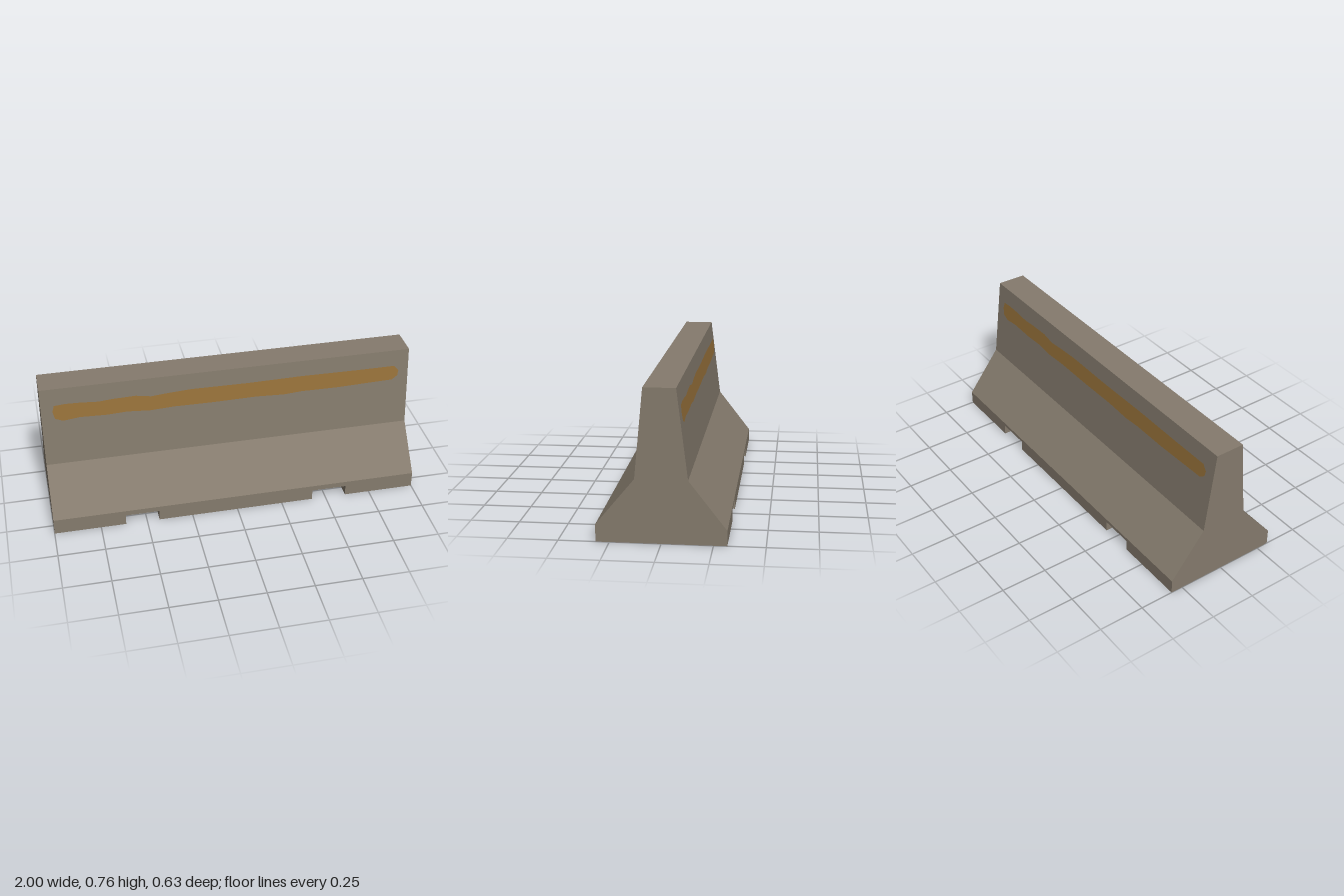
import * as THREE from 'three';

// Cross-section as [z, y], from the front foot over the top to the back foot
const profile = [
  [0.317, 0], [0.317, 0.087], [0.127, 0.317], [0.085, 0.76],
  [-0.073, 0.76], [-0.129, 0.317], [-0.316, 0.076], [-0.316, 0],
];
const notches = [[-0.615, -0.433], [0.423, 0.613]];
const notchTop = 0.058;

// Flat four-cornered faces, corners counter-clockwise from outside
function quads(list) {
  const pos = [];
  for (const [a, b, c, d] of list) pos.push(...a, ...b, ...c, ...a, ...c, ...d);
  const g = new THREE.BufferGeometry();
  g.setAttribute('position', new THREE.Float32BufferAttribute(pos, 3));
  g.computeVertexNormals();
  return g;
}

export function createModel() {
  const concrete = new THREE.MeshStandardMaterial({ color: 0x857b6d, side: THREE.DoubleSide });
  concrete.name = 'concrete';
  const paint = new THREE.MeshStandardMaterial({ color: 0x98723a, side: THREE.DoubleSide });
  paint.name = 'ochre paint';

  const model = new THREE.Group();
  model.name = 'concreteBarrier';
  const add = (name, geometry, material) => {
    const mesh = new THREE.Mesh(geometry, material);
    mesh.name = name;
    model.add(mesh);
    return mesh;
  };

  // Long slopes, upper walls and top (the underside stays open)
  const body = [];
  for (let i = 1; i < profile.length - 2; i++) {
    const [z0, y0] = profile[i], [z1, y1] = profile[i + 1];
    body.push([[-1, y0, z0], [1, y0, z0], [1, y1, z1], [-1, y1, z1]]);
  }
  add('body', quads(body), concrete);

  // Upright foot strips with two cut-outs each
  function footStrip(name, z, height) {
    const s = new THREE.Shape();
    s.moveTo(-1, 0);
    for (const [a, b] of notches) {
      s.lineTo(a, 0);
      s.lineTo(a, notchTop);
      s.lineTo(b, notchTop);
      s.lineTo(b, 0);
    }
    s.lineTo(1, 0);
    s.lineTo(1, height);
    s.lineTo(-1, height);
    const g = new THREE.ShapeGeometry(s);
    if (z < 0) { // turn the faces outward without moving the cut-outs
      const ix = g.index.array;
      for (let i = 0; i < ix.length; i += 3) [ix[i], ix[i + 1]] = [ix[i + 1], ix[i]];
      g.computeVertexNormals();
    }
    add(name, g, concrete).position.z = z;
  }
  footStrip('frontFoot', profile[0][0], profile[1][1]);
  footStrip('backFoot', profile[7][0], profile[6][1]);

  // End walls
  for (const side of [1, -1]) {
    const s = new THREE.Shape(profile.map(([z, y]) => new THREE.Vector2(-side * z, y)));
    const end = add(side > 0 ? 'leftEnd' : 'rightEnd', new THREE.ShapeGeometry(s), concrete);
    end.rotation.y = side * Math.PI / 2;
    end.position.x = side;
  }

  // Fork channels running through the foot
  const f = profile[0][0], k = profile[7][0], h = notchTop;
  for (const [a, b] of notches) {
    add('forkChannel', quads([
      [[a, h, k], [b, h, k], [b, h, f], [a, h, f]],
      [[a, 0, f], [a, 0, k], [a, h, k], [a, h, f]],
      [[b, 0, k], [b, 0, f], [b, h, f], [b, h, k]],
    ]), concrete);
  }

  // Uneven painted stripe, laid onto the leaning upper walls
  const upper = [
    [-0.93, 0.665], [-0.87, 0.67], [-0.8, 0.668], [-0.7, 0.661], [-0.62, 0.667], [-0.5, 0.67],
    [-0.42, 0.656], [-0.33, 0.664], [-0.2, 0.671], [0.1, 0.668], [0.4, 0.672], [0.7, 0.669],
    [0.92, 0.669], [0.945, 0.64],
  ];
  const lower = [
    [0.94, 0.61], [0.91, 0.588], [0.8, 0.585], [0.6, 0.579], [0.4, 0.581], [0.3, 0.574], [0.15, 0.581],
    [-0.1, 0.578], [-0.3, 0.58], [-0.43, 0.574], [-0.55, 0.583], [-0.66, 0.578], [-0.8, 0.583],
    [-0.89, 0.573], [-0.93, 0.59], [-0.94, 0.63],
  ];
  const outline = [...upper, ...lower].reverse().map(([x, y]) => new THREE.Vector2(x, y));
  function stripe(name, [zLow, yLow], [zHigh, yHigh], turn) {
    const g = new THREE.ShapeGeometry(new THREE.Shape(outline));
    const p = g.attributes.position;
    for (let i = 0; i < p.count; i++) {
      const t = (p.getY(i) - yLow) / (yHigh - yLow);
      p.setZ(i, Math.abs(zLow) + (Math.abs(zHigh) - Math.abs(zLow)) * t + 0.003);
    }
    g.computeVertexNormals();
    add(name, g, paint).rotation.y = turn;
  }
  stripe('frontStripe', profile[2], profile[3], 0);
  stripe('backStripe', profile[5], profile[4], Math.PI);

  return model;
}
